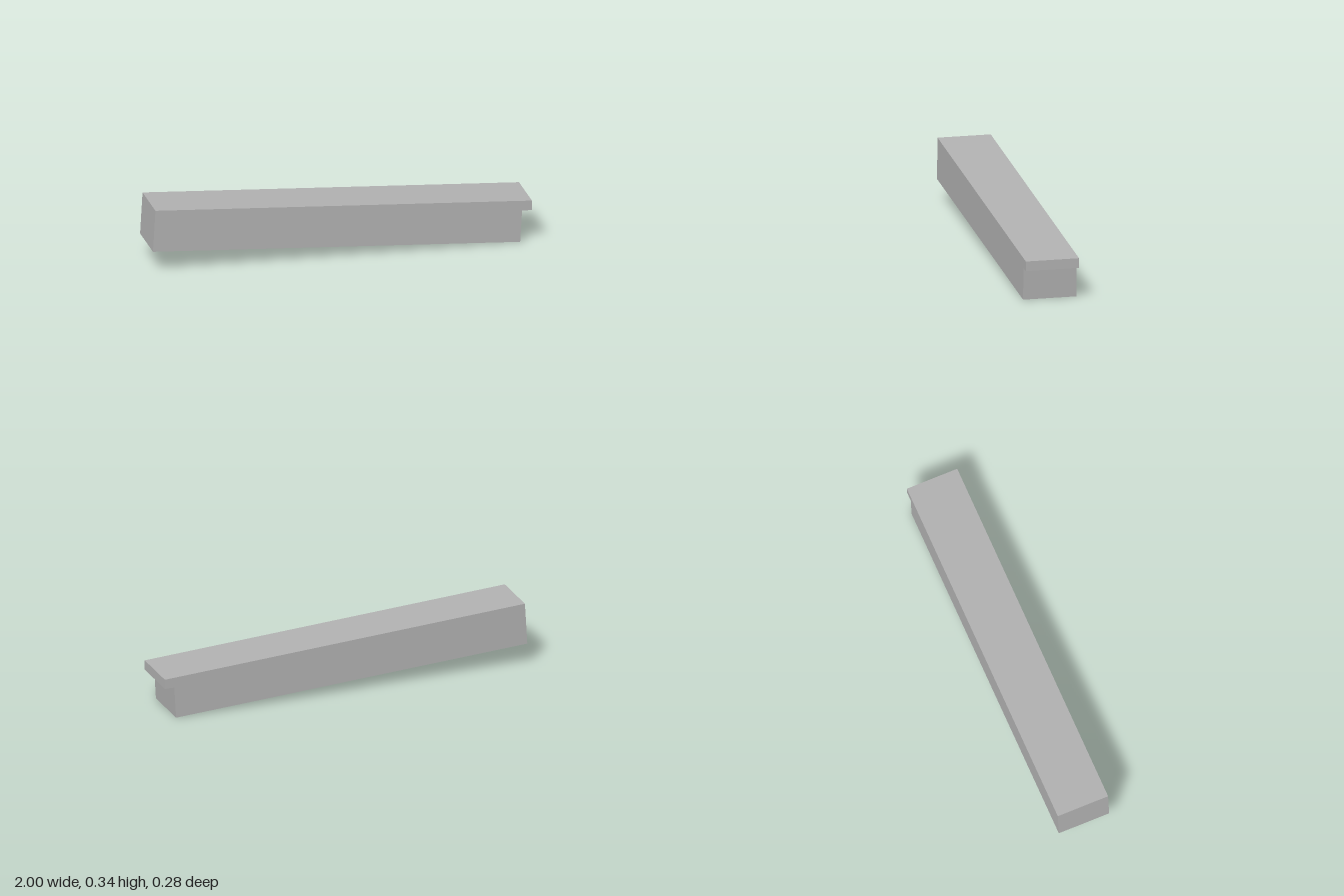
import * as THREE from 'three';

export function createModel() {
  const group = new THREE.Group();
  group.name = 'slopedBeam';
  const grey = new THREE.MeshStandardMaterial({ color: 0xb0b0b0 });
  grey.name = 'grey';

  // Side profile: sloping beam with a small overhanging lip at the low end
  const profile = new THREE.Shape([
    [-1, 0.115], [0.938, 0], [0.948, 0.169], [1, 0.169],
    [1, 0.22], [-0.987, 0.338],
  ].map(([x, y]) => new THREE.Vector2(x, y)));

  // Extruded across the width and centred on z
  const width = 0.28;
  const geometry = new THREE.ExtrudeGeometry(profile, { depth: width, bevelEnabled: false });
  geometry.translate(0, 0, -width / 2);
  const beam = new THREE.Mesh(geometry, grey);
  beam.name = 'beamWithLip';
  group.add(beam);
  return group;
}
